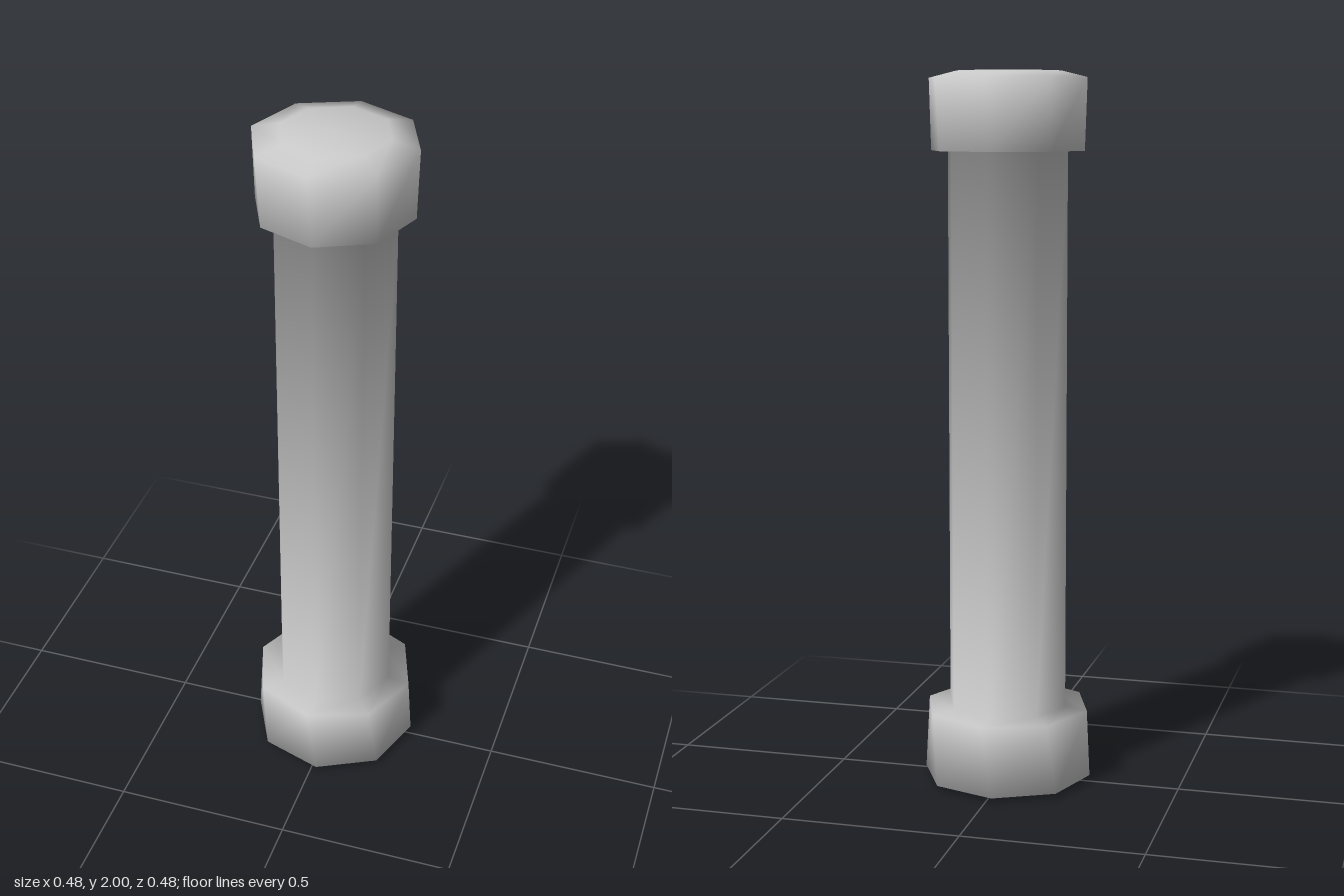
import * as THREE from 'three';

const SIDES = 8;

// Cross-sections from bottom to top: radius, height, twist in degrees, vertical lean of the normal
const RINGS = [
  { r: 0.15, y: 0.002, twist: -4, lean: -4 },
  { r: 0.24, y: 0.012, twist: -4, lean: -0.6 },
  { r: 0.237, y: 0.212, twist: 3, lean: 0.5 },
  { r: 0.172, y: 0.22, twist: 2, lean: 0.35 },
  { r: 0.172, y: 1.785, twist: 2, lean: -0.6 },
  { r: 0.216, y: 1.785, twist: -2, lean: -0.4 },
  { r: 0.224, y: 1.982, twist: 0, lean: 0.6 },
  { r: 0.15, y: 2.0, twist: 0, lean: 4 },
];

export function createModel() {
  const positions = [];
  const normals = [];
  for (const { r, y, twist, lean } of RINGS) {
    const len = Math.hypot(1, lean);
    for (let j = 0; j < SIDES; j++) {
      const a = (j / SIDES) * Math.PI * 2 + THREE.MathUtils.degToRad(twist);
      positions.push(r * Math.cos(a), y, r * Math.sin(a));
      normals.push(Math.cos(a) / len, lean / len, Math.sin(a) / len);
    }
  }
  // Centre points that close the underside and the top
  const bottom = RINGS.length * SIDES;
  const top = bottom + 1;
  positions.push(0, 0, 0, 0, 2, 0);
  normals.push(0, -1, 0, 0, 1, 0);
  const position = new THREE.Float32BufferAttribute(positions, 3);
  const normal = new THREE.Float32BufferAttribute(normals, 3);

  // Faces joining the rings from one section to another
  const band = (from, to) => {
    const index = [];
    for (let i = from; i < to; i++) {
      for (let j = 0; j < SIDES; j++) {
        const a = i * SIDES + j;
        const b = i * SIDES + ((j + 1) % SIDES);
        index.push(a, a + SIDES, b, b, a + SIDES, b + SIDES);
      }
    }
    return index;
  };

  // Fan of faces around a centre point
  const fan = (ring, centre, up) => {
    const index = [];
    for (let j = 0; j < SIDES; j++) {
      const a = ring * SIDES + j;
      const b = ring * SIDES + ((j + 1) % SIDES);
      index.push(...(up ? [a, centre, b] : [a, b, centre]));
    }
    return index;
  };

  const group = new THREE.Group();
  group.name = 'column';
  const material = new THREE.MeshStandardMaterial({ color: 0xcccccc });
  // Parts share their vertices so the shading flows across the joints
  const addPart = (name, index) => {
    const geometry = new THREE.BufferGeometry();
    geometry.setAttribute('position', position);
    geometry.setAttribute('normal', normal);
    geometry.setIndex(index);
    const mesh = new THREE.Mesh(geometry, material);
    mesh.name = name;
    group.add(mesh);
  };

  addPart('base', [...fan(0, bottom, false), ...band(0, 3)]);
  addPart('shaft', band(3, 4));
  addPart('capital', [...band(4, 7), ...fan(7, top, true)]);
  return group;
}
